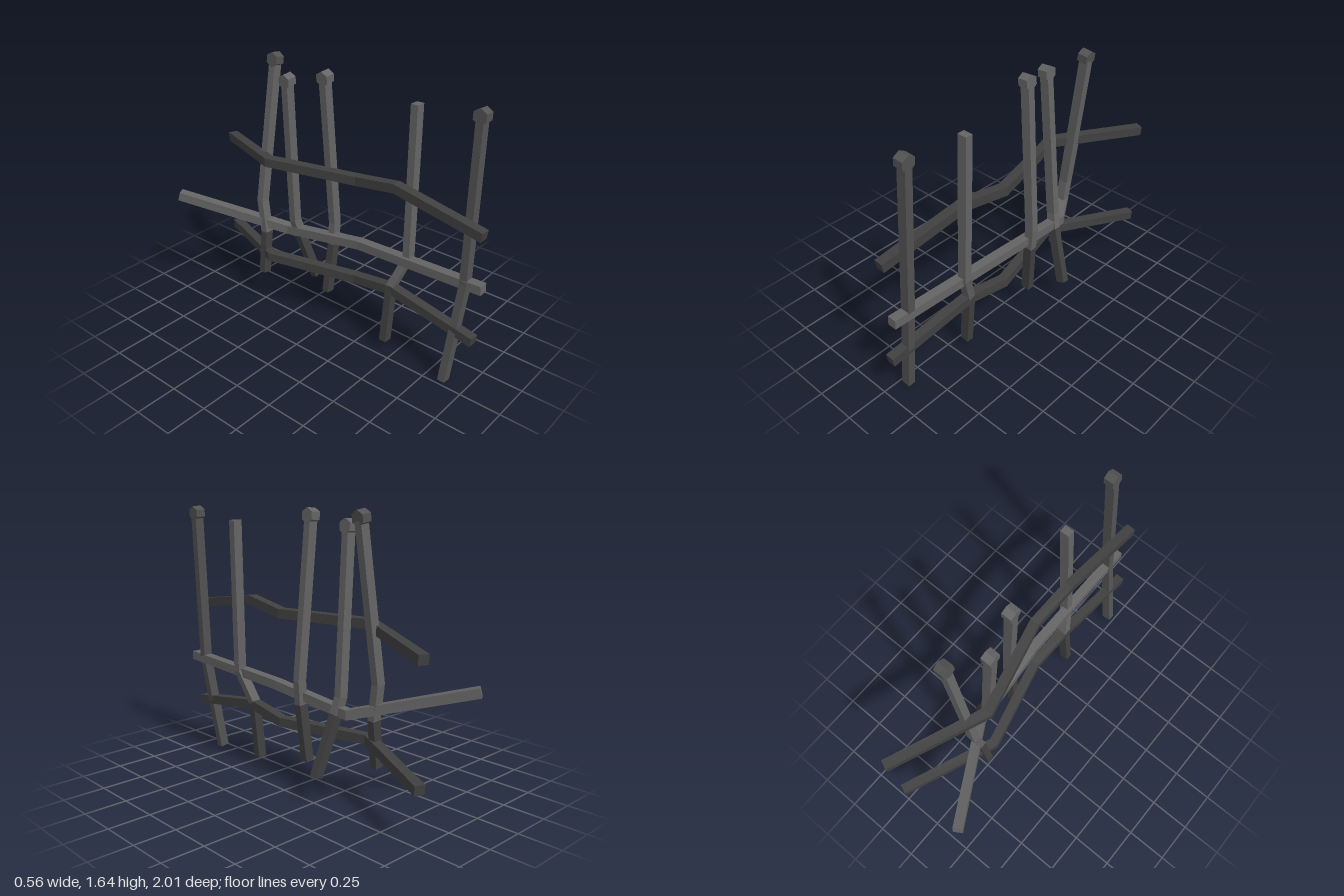
import * as THREE from 'three';

const mat = (name, color) => {
  const m = new THREE.MeshStandardMaterial({ color });
  m.name = name;
  return m;
};

// Square bar swept along a bent path with mitred joints; one geometry group per segment.
function barGeometry(points, ref, width, depth) {
  const p = points.map((a) => new THREE.Vector3(...a));
  const last = p.length - 1;
  const pos = [], index = [];
  const geo = new THREE.BufferGeometry();
  p.forEach((c, i) => {
    const before = c.clone().sub(p[Math.max(i - 1, 0)]).normalize();
    const after = p[Math.min(i + 1, last)].clone().sub(c).normalize();
    const t = before.clone().add(after).normalize();
    const seg = i < last ? after : before;
    const u = ref.clone().cross(t).normalize();
    const v = t.clone().cross(u);
    // widen each axis at the joint so the bar keeps its thickness
    const su = Math.sqrt(1 + (seg.dot(u) / seg.dot(t)) ** 2);
    const sv = Math.sqrt(1 + (seg.dot(v) / seg.dot(t)) ** 2);
    for (const [a, b] of [[-1, -1], [1, -1], [1, 1], [-1, 1]]) {
      const q = c.clone().addScaledVector(u, a * su * width / 2).addScaledVector(v, b * sv * depth / 2);
      pos.push(q.x, q.y, q.z);
    }
  });
  for (let i = 0; i < last; i++) {
    const start = index.length;
    const o = i * 4;
    if (i === 0) index.push(0, 2, 1, 0, 3, 2);
    for (let k = 0; k < 4; k++) {
      const a = o + k, b = o + (k + 1) % 4;
      index.push(a, b, b + 4, a, b + 4, a + 4);
    }
    if (i === last - 1) index.push(o + 4, o + 5, o + 6, o + 4, o + 6, o + 7);
    geo.addGroup(start, index.length - start, i);
  }
  geo.setAttribute('position', new THREE.Float32BufferAttribute(pos, 3));
  geo.setIndex(index);
  const flat = geo.toNonIndexed();
  flat.computeVertexNormals();
  return flat;
}

export function createModel() {
  const model = new THREE.Group();
  model.name = 'bentFence';
  const light = mat('grey iron', 0x646464);
  const middle = mat('worn iron', 0x525252);
  const dark = mat('dark iron', 0x404040);
  const X = new THREE.Vector3(1, 0, 0), Y = new THREE.Vector3(0, 1, 0);

  const addBar = (name, points, ref, w, d, mats) => {
    const mesh = new THREE.Mesh(barGeometry(points, ref, w, d), mats);
    mesh.name = name;
    model.add(mesh);
  };

  // Rails: the top and bottom ones share the same bends
  const outerRail = [
    [0.09, 0.32, 1], [0.115, 0.41, 0.43], [0.13, 0.365, 0.15], [-0.01, 0.365, -0.42], [0.24, 0.305, -0.99],
  ];
  for (const [name, lift] of [['bottomRail', 0], ['topRail', 0.655]]) {
    addBar(name, outerRail.map(([x, y, z]) => [x, y + lift, z]), Y, 0.058, 0.055, Array(4).fill(dark));
  }
  addBar('middleRail', [
    [0.14, 0.63, 1], [0.15, 0.595, 0.16], [0.115, 0.525, -0.38], [-0.25, 0.705, -0.985],
  ], Y, 0.058, 0.055, Array(3).fill(light));

  // Posts, from the foot upwards
  const posts = [
    { path: [[0.045, 0.01, 0.86], [0.14, 0.62, 0.89], [0.19, 1.55, 0.87]], mats: [middle, middle], cap: middle },
    { path: [[0.08, 0.06, 0.42], [0.115, 0.42, 0.425], [0.165, 0.62, 0.5], [0.19, 1.54, 0.485]], mats: [dark, light, light] },
    { path: [[0.13, 0.18, -0.07], [0.16, 0.52, -0.05], [0.17, 0.66, -0.05], [0.1, 1.57, -0.07]], mats: [dark, light, light], cap: light },
    { path: [[0.25, 0.165, -0.27], [0.135, 0.51, -0.305], [0.11, 0.61, -0.32], [0.04, 1.52, -0.3]], mats: [dark, light, light], cap: light },
    { path: [[-0.005, 0.22, -0.49], [0.03, 0.5, -0.495], [0.035, 0.71, -0.525], [0.155, 1.58, -0.5]], mats: [dark, light, light], cap: middle },
  ];
  posts.forEach(({ path, mats, cap }, i) => {
    addBar(`post${i + 1}`, path, X, 0.045, 0.058, mats);
    if (!cap) return;
    // Faceted finial
    const g = new THREE.CylinderGeometry(0.044, 0.044, 0.062, 6).toNonIndexed();
    g.rotateZ(Math.PI / 2);
    g.rotateX(Math.PI / 2);
    g.computeVertexNormals();
    const finial = new THREE.Mesh(g, cap);
    finial.name = `finial${i + 1}`;
    const [x, y, z] = path[path.length - 1];
    finial.position.set(x, y + 0.015, z);
    const [px, py] = path[path.length - 2];
    finial.rotation.z = -Math.atan2(x - px, y - py);
    model.add(finial);
  });
  return model;
}
